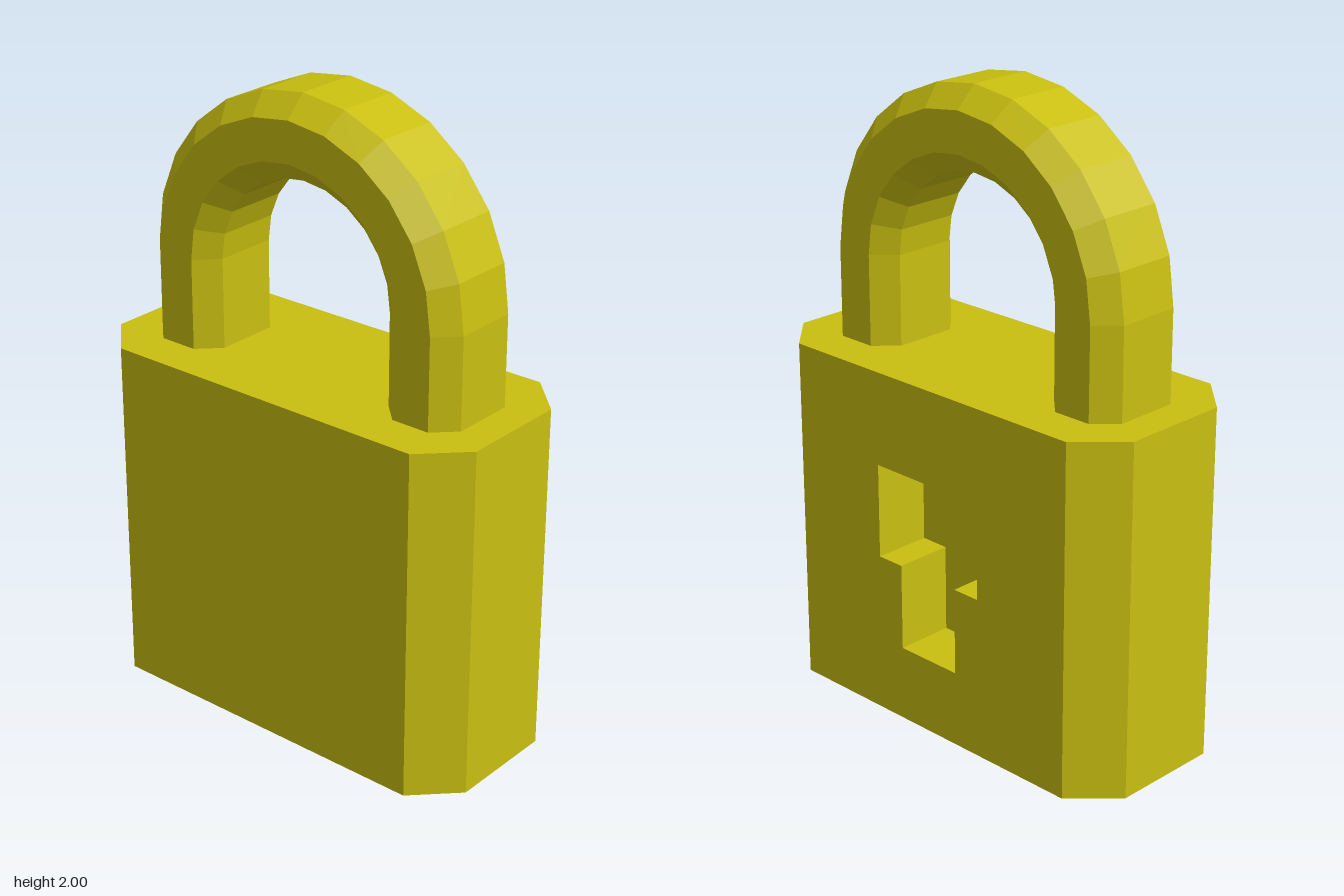
import * as THREE from 'three';

const material = new THREE.MeshStandardMaterial({ color: 0xc9bf10, flatShading: true });

const shapeOf = (points) => new THREE.Shape(points.map(([x, y]) => new THREE.Vector2(x, y)));

// Octagon: a rectangle of half sizes w and h with its corners cut by c
const octagon = (w, h, c) => [
  [w, c - h], [w, h - c], [w - c, h], [c - w, h],
  [-w, h - c], [-w, c - h], [c - w, -h], [w - c, -h],
];

function flatGeometry(positions) {
  const geometry = new THREE.BufferGeometry();
  geometry.setAttribute('position', new THREE.Float32BufferAttribute(positions, 3));
  geometry.computeVertexNormals();
  return geometry;
}

// Drops the triangles facing +x; flip turns the rest inside out
function openTowardsX(source, flip = false) {
  const p = source.getAttribute('position');
  const kept = [];
  const tri = new THREE.Triangle();
  const normal = new THREE.Vector3();
  for (let i = 0; i < p.count; i += 3) {
    tri.setFromAttributeAndIndices(p, i, i + 1, i + 2);
    if (tri.getNormal(normal).x > 0.99) continue;
    const corners = flip ? [tri.a, tri.c, tri.b] : [tri.a, tri.b, tri.c];
    corners.forEach((v) => kept.push(v.x, v.y, v.z));
  }
  return flatGeometry(kept);
}

// Octagonal bar swept up one leg, over a half circle and down the other leg
function shackleGeometry() {
  const radius = 0.45, centreY = 1.42, baseY = 1.13, steps = 12;
  const section = octagon(0.17, 0.13, 0.066);
  const ring = (angle, y) => section.map(([x, r]) => [
    x, y + (radius + r) * Math.sin(angle), (radius + r) * Math.cos(angle),
  ]);
  const rings = [ring(0, baseY)];
  for (let i = 0; i <= steps; i++) rings.push(ring((Math.PI * i) / steps, centreY));
  rings.push(ring(Math.PI, baseY));

  const positions = [];
  for (let i = 0; i < rings.length - 1; i++) {
    for (let j = 0; j < section.length; j++) {
      const k = (j + 1) % section.length;
      const [a, b, c, d] = [rings[i][j], rings[i + 1][j], rings[i + 1][k], rings[i][k]];
      positions.push(...a, ...b, ...d, ...b, ...c, ...d);
    }
  }
  return flatGeometry(positions);
}

export function createModel() {
  const group = new THREE.Group();
  group.name = 'padlock';
  const add = (name, geometry) => {
    const mesh = new THREE.Mesh(geometry, material);
    mesh.name = name;
    group.add(mesh);
  };

  const halfX = 0.31, halfZ = 0.69, cut = 0.132, height = 1.13, recessDepth = 0.187;

  // Body block, open where the keyhole plate sits
  const block = new THREE.ExtrudeGeometry(shapeOf(octagon(halfX, halfZ, cut)), {
    depth: height, bevelEnabled: false,
  });
  block.rotateX(-Math.PI / 2);
  add('body', openTowardsX(block));

  // Plate on the left side with the keyhole cut out
  const keyhole = [
    [-0.115, 0.245], [0.115, 0.245], [0.115, 0.525], [0.21, 0.525],
    [0.21, 0.83], [-0.21, 0.83], [-0.21, 0.525], [-0.115, 0.525],
  ];
  const edge = halfZ - cut;
  const plate = shapeOf([[-edge, 0], [edge, 0], [edge, height], [-edge, height]]);
  plate.holes.push(shapeOf(keyhole));
  const plateGeometry = new THREE.ShapeGeometry(plate);
  plateGeometry.rotateY(Math.PI / 2).translate(halfX, 0, 0);
  add('keyholePlate', plateGeometry);

  // Walls and floor of the keyhole
  const recess = new THREE.ExtrudeGeometry(shapeOf(keyhole), {
    depth: recessDepth, bevelEnabled: false,
  });
  recess.rotateY(Math.PI / 2).translate(halfX - recessDepth, 0, 0);
  add('keyholeRecess', openTowardsX(recess, true));

  add('shackle', shackleGeometry());
  return group;
}
